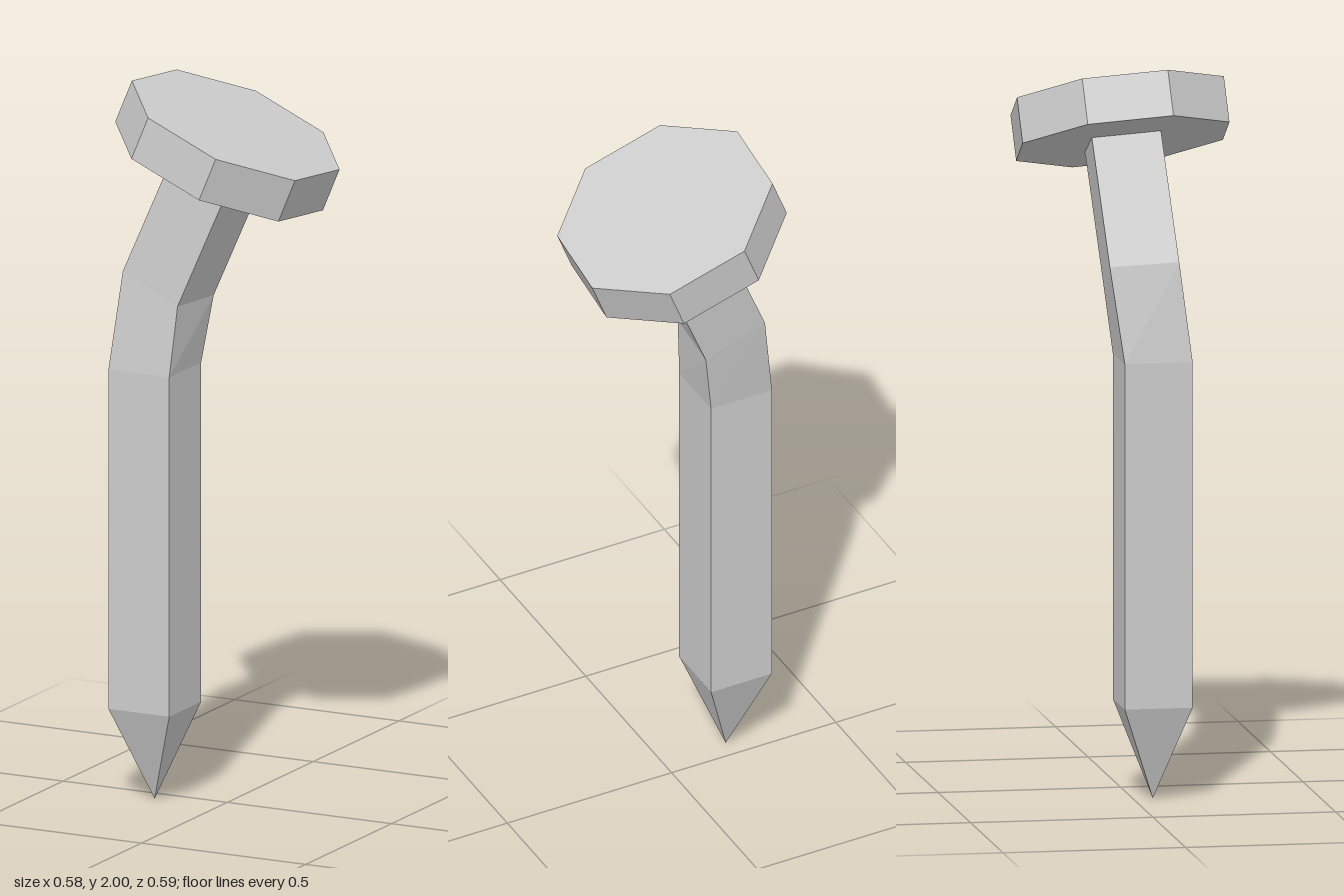
import * as THREE from 'three';

export function createModel() {
  const model = new THREE.Group();
  const material = new THREE.MeshStandardMaterial({ color: 0xcccccc, flatShading: true });

  // Octagonal head, tilted along the bent end of the shank
  const axis = new THREE.Vector3(0.047, 0.118, -0.007).normalize();
  const thickness = 0.127;
  const topCentre = new THREE.Vector3(0.023, 1.888, -0.005);
  const underside = topCentre.clone().addScaledVector(axis, -thickness);
  const head = new THREE.Mesh(
    new THREE.CylinderGeometry(0.305, 0.305, thickness, 8, 1, false, THREE.MathUtils.degToRad(18)),
    material
  );
  head.name = 'head';
  head.quaternion.setFromUnitVectors(new THREE.Vector3(0, 1, 0), axis);
  head.position.copy(topCentre).addScaledVector(axis, -thickness / 2);
  model.add(head);

  // Square shank: cross-sections from the point up to the head
  const square = (y) => [[-0.1, y, 0.147], [-0.1, y, -0.039], [-0.285, y, -0.039], [-0.285, y, 0.147]];
  const bend = [[-0.085, 1.4, 0.127], [-0.073, 1.39, -0.06], [-0.246, 1.465, -0.073], [-0.258, 1.475, 0.115]];
  const bendCentre = new THREE.Vector3(-0.1655, 1.4325, 0.027);
  const step = underside.clone().sub(bendCentre).multiplyScalar(1.03).toArray();
  const end = bend.map((p) => p.map((v, i) => v + step[i]));
  const tip = Array(4).fill([-0.193, 0, 0.054]);
  const rings = [tip, square(0.26), square(1.205), bend, end];

  const positions = [];
  const triangle = (...corners) => corners.forEach((c) => positions.push(...c));
  for (let r = 0; r < rings.length - 1; r++) {
    for (let i = 0; i < 4; i++) {
      const j = (i + 1) % 4;
      const [a, b] = [rings[r][i], rings[r][j]];
      const [c, d] = [rings[r + 1][j], rings[r + 1][i]];
      if (r > 0) triangle(a, b, c); // the point needs one triangle per side
      triangle(a, c, d);
    }
  }
  const geometry = new THREE.BufferGeometry();
  geometry.setAttribute('position', new THREE.Float32BufferAttribute(positions, 3));
  geometry.computeVertexNormals();
  const shank = new THREE.Mesh(geometry, material);
  shank.name = 'shank';
  model.add(shank);

  return model;
}
